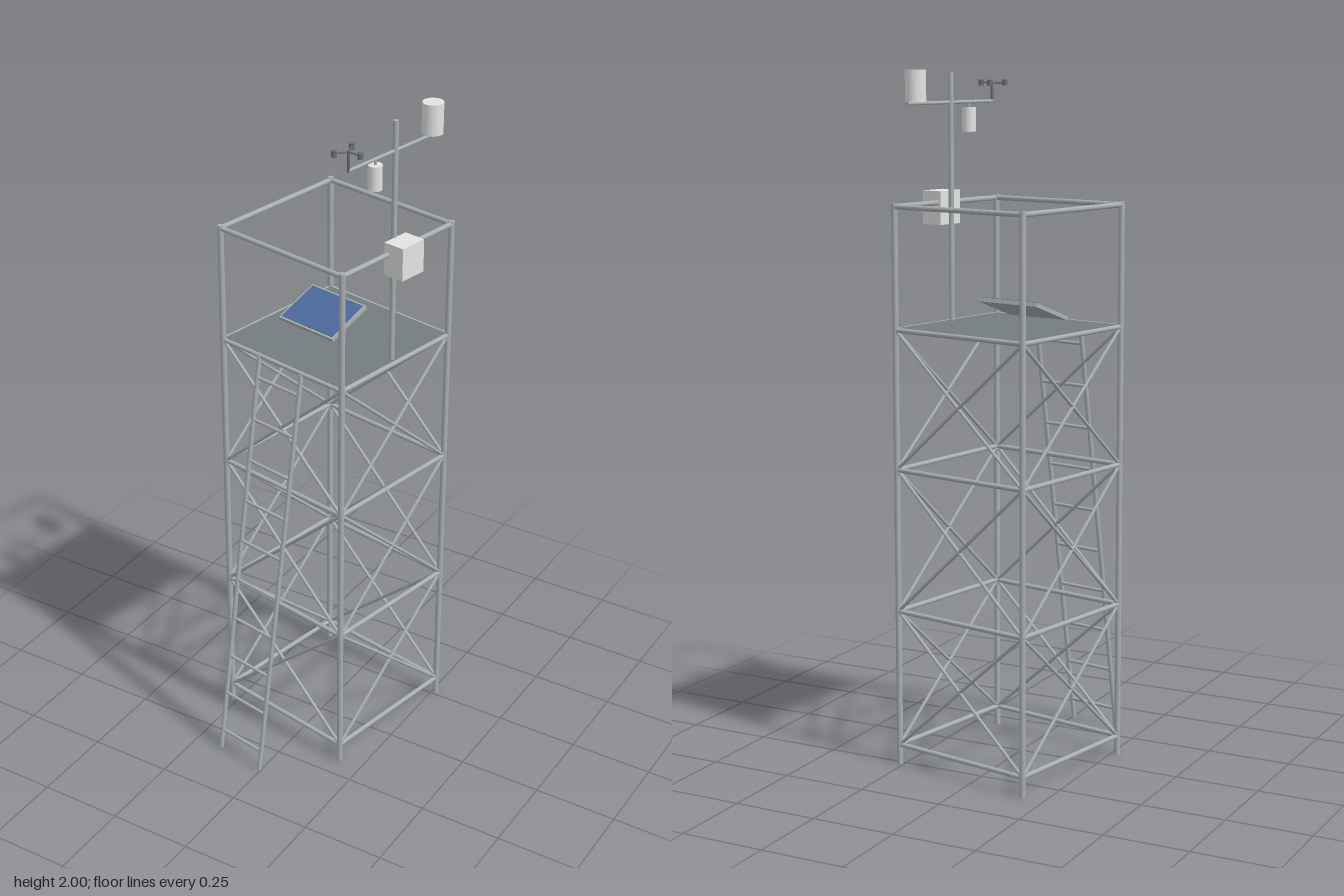
import * as THREE from 'three';

const mat = (name, color) => {
  const m = new THREE.MeshStandardMaterial({ color });
  m.name = name;
  return m;
};

export function createModel() {
  const steel = mat('galvanised steel', 0xaab0b2);
  const deckGrey = mat('deck grey', 0x757c81);
  const casing = mat('light casing', 0xe2e5e3);
  const cellBlue = mat('solar blue', 0x4c6c9e);
  const darkMetal = mat('dark metal', 0x6a6f71);

  // The whole tower is turned a little on its base
  const tower = new THREE.Group();
  tower.name = 'weatherTower';
  tower.position.set(-0.003, 0, -0.082);
  tower.rotation.y = -THREE.MathUtils.degToRad(11);

  const add = (name, geometry, material, x = 0, y = 0, z = 0, parent = tower) => {
    const mesh = new THREE.Mesh(geometry, material);
    mesh.name = name;
    mesh.position.set(x, y, z);
    parent.add(mesh);
    return mesh;
  };
  // Round bar between two points
  const up = new THREE.Vector3(0, 1, 0);
  const bar = (name, a, b, r, material = steel) => {
    const p = new THREE.Vector3(...a), q = new THREE.Vector3(...b);
    const d = q.clone().sub(p);
    const mesh = add(name, new THREE.CylinderGeometry(r, r, d.length(), 10), material);
    mesh.position.copy(p).add(q).multiplyScalar(0.5);
    mesh.quaternion.setFromUnitVectors(up, d.normalize());
    return mesh;
  };

  // Lattice frame: posts, girts, cross braces and guard rail
  const h = 0.227, deckY = 1.277, railY = 1.624;
  const levels = [0.058, 0.46, 0.876, deckY];
  const corners = [[-h, h], [h, h], [h, -h], [-h, -h]];
  corners.forEach(([x, z], i) => {
    const [x2, z2] = corners[(i + 1) % 4];
    bar('cornerPost', [x, 0, z], [x, 1.633, z], 0.009);
    bar('guardRail', [x, railY, z], [x2, railY, z2], 0.0075);
    levels.forEach((y, k) => {
      bar('girt', [x, y, z], [x2, y, z2], 0.007);
      if (k === 3) return;
      bar('crossBrace', [x, y, z], [x2, levels[k + 1], z2], 0.005);
      bar('crossBrace', [x2, y, z2], [x, levels[k + 1], z], 0.005);
    });
  });

  add('platform', new THREE.BoxGeometry(0.446, 0.014, 0.446), deckGrey, 0, 1.276, 0);

  // Ladder leaning on the front edge
  const footZ = 0.426, topZ = 0.231;
  for (const x of [-0.08, 0.08]) bar('ladderRail', [x, 0.001, footZ], [x, deckY, topZ], 0.007);
  for (let i = 0; i < 10; i++) {
    const t = (i + 0.5) / 10, z = footZ + (topZ - footZ) * t;
    bar('ladderRung', [-0.08, deckY * t, z], [0.08, deckY * t, z], 0.005);
  }

  // Tilted solar panel
  const panel = new THREE.Group();
  panel.name = 'solarPanel';
  panel.position.set(-0.051, 1.337, 0);
  panel.rotation.x = THREE.MathUtils.degToRad(20);
  tower.add(panel);
  add('panelFrame', new THREE.BoxGeometry(0.206, 0.012, 0.153), steel, 0, 0, 0, panel);
  add('panelCells', new THREE.BoxGeometry(0.194, 0.003, 0.141), cellBlue, 0, 0.0065, 0, panel);

  // Instrument mast with cross arm
  const mx = 0.21, armY = 1.907;
  bar('mast', [mx, deckY, 0], [mx, 1.992, 0], 0.008);
  bar('crossArm', [mx, armY, -0.188], [mx, armY, 0.188], 0.005);
  add('equipmentBox', new THREE.BoxGeometry(0.066, 0.096, 0.088), casing, 0.248, 1.609, 0.001);
  add('rainGauge', new THREE.CylinderGeometry(0.03, 0.03, 0.088, 18), casing, mx, 1.956, -0.152);
  add('sensorShield', new THREE.CylinderGeometry(0.02, 0.02, 0.07, 12), casing, mx, 1.857, 0.081);
  bar('shieldHanger', [mx, 1.885, 0.081], [mx, armY, 0.081], 0.004);

  // Three-cup wind gauge
  const az = 0.186, cupY = 1.96;
  bar('windGaugeStem', [mx, armY - 0.004, az], [mx, cupY + 0.004, az], 0.004, darkMetal);
  for (let i = 0; i < 3; i++) {
    const a = (i * Math.PI * 2) / 3;
    const x = mx + 0.04 * Math.cos(a), z = az + 0.04 * Math.sin(a);
    bar('windGaugeArm', [mx, cupY, az], [x, cupY, z], 0.0025, darkMetal);
    add('windCup', new THREE.CylinderGeometry(0.008, 0.008, 0.017, 12), darkMetal, x, cupY, z);
  }

  const model = new THREE.Group();
  model.name = 'model';
  model.add(tower);
  return model;
}
